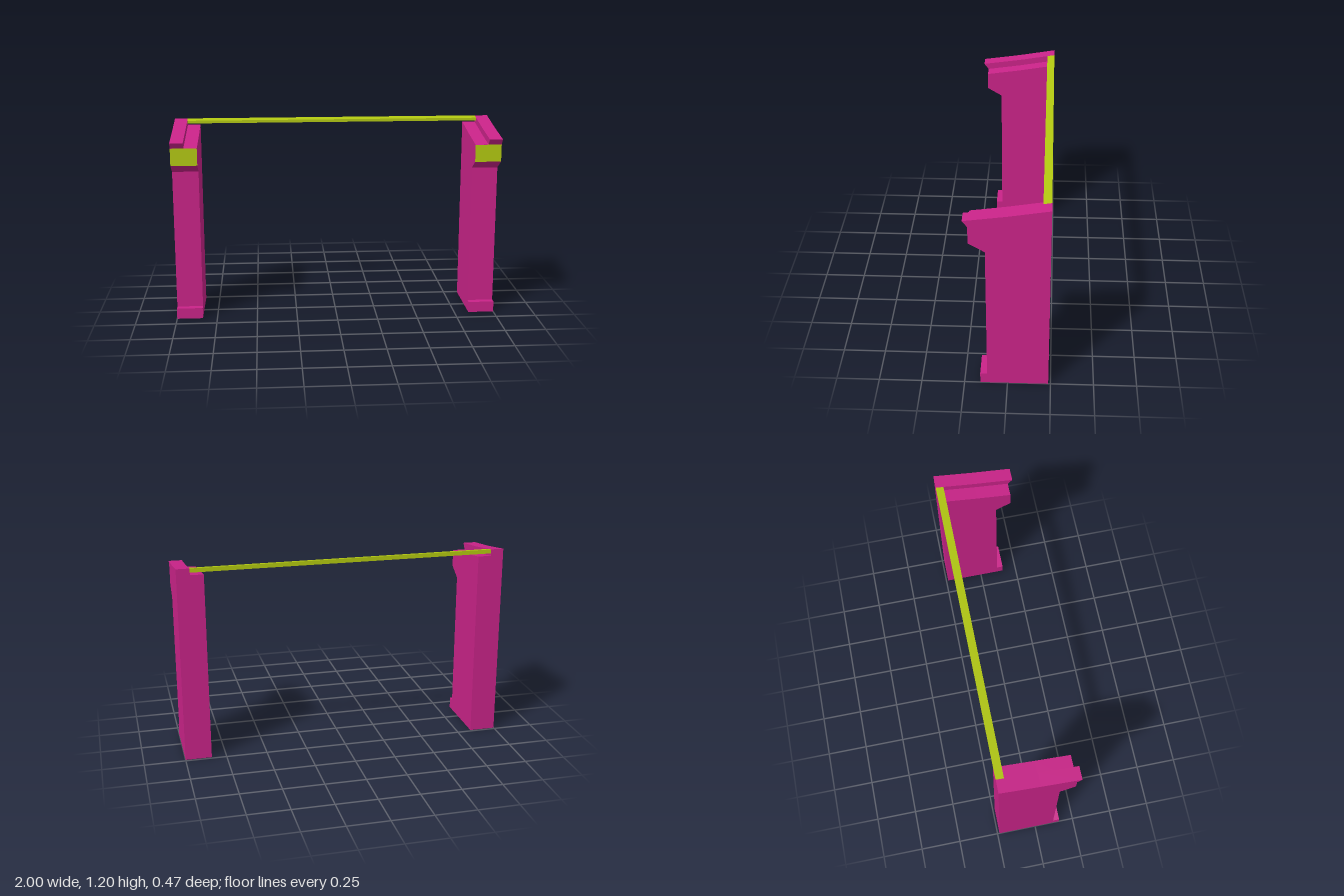
import * as THREE from 'three';

const pink = new THREE.MeshStandardMaterial({ color: 0xc92388, flatShading: true });
const lime = new THREE.MeshStandardMaterial({ color: 0xb2c810, flatShading: true });

// Extrudes a side profile of [z, y] points from x0 to x1.
function extrudeAcross(name, profile, x0, x1, material) {
  const shape = new THREE.Shape(profile.map(([z, y]) => new THREE.Vector2(z, y)));
  const geometry = new THREE.ExtrudeGeometry(shape, { depth: x1 - x0, bevelEnabled: false });
  geometry.rotateY(-Math.PI / 2).translate(x1, 0, 0);
  const mesh = new THREE.Mesh(geometry, material);
  mesh.name = name;
  return mesh;
}

// Pillar with a foot, an overhanging head and a sloping top
const pillarProfile = [
  [-0.237, 0], [0.158, 0], [0.158, 0.067], [0.118, 0.067], [0.118, 0.93],
  [0.209, 0.985], [0.209, 1.09], [0, 1.12], [-0.237, 1.16],
];

// Raised outer edge along the sloping top
const ridgeProfile = [
  [0.209, 1.09], [0.237, 1.127], [0, 1.16], [-0.237, 1.2], [-0.237, 1.16], [0, 1.12],
];

// Slim beam with a slanted top
const beamProfile = [[-0.237, 1.175], [-0.19, 1.175], [-0.19, 1.192], [-0.237, 1.2]];

function createPillar(side) {
  const group = new THREE.Group();
  group.name = side > 0 ? 'leftPillar' : 'rightPillar';
  const span = (a, b) => (side > 0 ? [a, b] : [-b, -a]);
  group.add(extrudeAcross('pillarBody', pillarProfile, ...span(0.84, 1), pink));
  group.add(extrudeAcross('topRidge', ridgeProfile, ...span(0.92, 1), pink));

  // Coloured panel on the front of the head
  const panel = new THREE.Mesh(new THREE.PlaneGeometry(0.16, 0.105), lime);
  panel.name = 'frontPanel';
  panel.position.set(side * 0.92, 1.0375, 0.2105);
  group.add(panel);
  return group;
}

export function createModel() {
  const model = new THREE.Group();
  model.name = 'gateFrame';
  for (const side of [1, -1]) model.add(createPillar(side));
  model.add(extrudeAcross('crossBeam', beamProfile, -0.92, 0.92, lime));
  return model;
}
